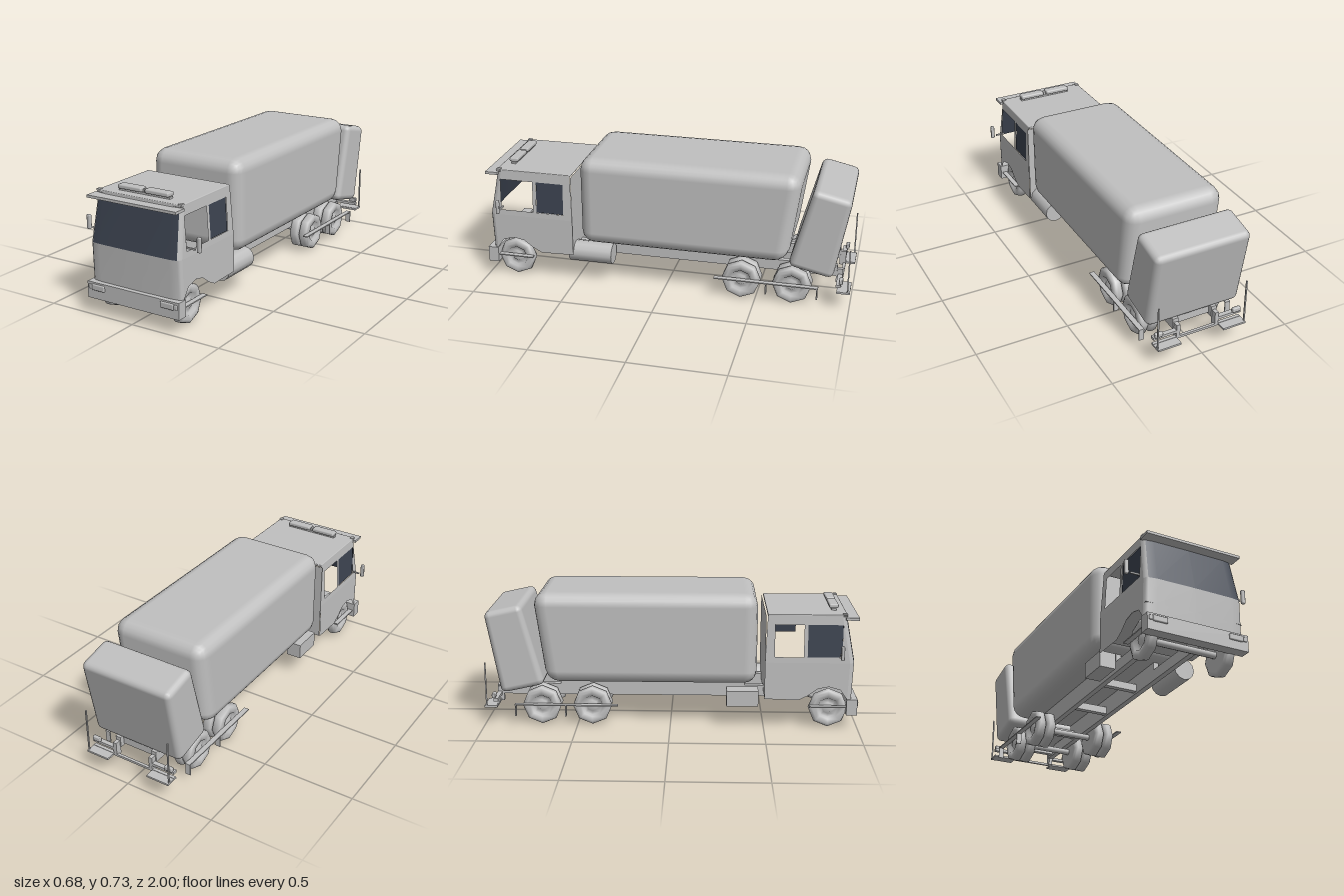
import * as THREE from 'three';
import { RoundedBoxGeometry } from 'three/addons/geometries/RoundedBoxGeometry.js';

const paint = new THREE.MeshStandardMaterial({ color: 0xc0c0c0 });
paint.name = 'grey paint';
const glass = new THREE.MeshStandardMaterial({ color: 0x3c4350, side: THREE.DoubleSide });
glass.name = 'dark glass';

export function createModel() {
  const truck = new THREE.Group();
  truck.name = 'garbageTruck';

  const add = (name, geometry, material = paint) => {
    const mesh = new THREE.Mesh(geometry, material);
    mesh.name = name;
    truck.add(mesh);
    return mesh;
  };
  // Box given by its extents on each axis
  const box = (name, [x0, x1], [y0, y1], [z0, z1], radius = 0) => {
    const s = [Math.abs(x1 - x0), y1 - y0, z1 - z0];
    const g = radius ? new RoundedBoxGeometry(...s, 1, radius) : new THREE.BoxGeometry(...s);
    return add(name, g.translate((x0 + x1) / 2, (y0 + y1) / 2, (z0 + z1) / 2));
  };
  const pair = (name, [x0, x1], y, z, radius) => {
    for (const s of [1, -1]) box(name, [s * x0, s * x1], y, z, radius);
  };

  // ---- Cab shell: rules for its width and front lean ----
  const sideX = y => (y < 0.37 ? 0.268 - (y - 0.17) * 0.015 : 0.265 - (y - 0.37) * 0.06);
  const frontZ = y => (y < 0.37 ? 0.967 + (y - 0.17) * 0.04 : 0.975 - (y - 0.37) * 0.19);
  const frontColumns = [[-1, 0.03], [-0.985, 0.016], [-0.945, 0.008], [-0.78, 0.002], [0, 0],
    [0.78, 0.002], [0.945, 0.008], [0.985, 0.016], [1, 0.03]];

  const frontSkin = (name, ys, columns, material) => {
    const position = [], index = [], n = columns.length;
    ys.forEach((y, r) => columns.forEach(([u, back], c) => {
      position.push(u * sideX(y), y, frontZ(y) - back);
      if (r && c) {
        const d = r * n + c, a = d - n - 1, b = d - n, e = d - 1;
        index.push(a, b, d, a, d, e);
      }
    }));
    const g = new THREE.BufferGeometry();
    g.setAttribute('position', new THREE.Float32BufferAttribute(position, 3));
    g.setIndex(index);
    g.computeVertexNormals();
    return add(name, g, material);
  };
  frontSkin('cabFrontPanel', [0.17, 0.24, 0.37], frontColumns);
  frontSkin('windscreen', [0.37, 0.6], frontColumns.slice(2, 7), glass);
  frontSkin('windscreenPillar', [0.37, 0.6], frontColumns.slice(0, 3));
  frontSkin('windscreenPillar', [0.37, 0.6], frontColumns.slice(6));
  frontSkin('windscreenHeader', [0.6, 0.62], frontColumns);

  // Side skins are drawn in z and y, then laid onto the cab width
  const v2 = pts => pts.map(p => new THREE.Vector2(...p));
  const sideSkin = (name, outline, holes, side, inset = 0, material = paint) => {
    const shape = new THREE.Shape(v2(outline));
    holes.forEach(h => shape.holes.push(new THREE.Path(v2(h))));
    const g = new THREE.ShapeGeometry(shape);
    const p = g.attributes.position;
    for (let i = 0; i < p.count; i++) {
      const z = p.getX(i), y = p.getY(i);
      p.setXYZ(i, side * (sideX(y) - inset), y, z);
    }
    if (side > 0) g.index.array.reverse();
    g.computeVertexNormals();
    return add(name, g, material);
  };
  const rect = (z0, z1) => [[z0, 0.4], [z1, 0.4], [z1, 0.573], [z0, 0.573]];
  const frontWindow = rect(0.722, 0.904), rearWindow = rect(0.55, 0.702);
  const lowerSide = [[0.945, 0.37], [0.5, 0.37], [0.5, 0.17], [0.68, 0.165], [0.73, 0.19],
    [0.78, 0.228], [0.84, 0.24], [0.9, 0.223], [0.937, 0.17]];
  const upperSide = [[0.5, 0.37], [0.945, 0.37], [frontZ(0.62) - 0.03, 0.62], [0.51, 0.62]];
  for (const s of [1, -1]) {
    sideSkin('cabLowerSide', lowerSide, [], s);
    sideSkin('cabUpperSide', upperSide, [frontWindow, rearWindow], s);
    // One pane on each side is open
    sideSkin('sideWindow', s > 0 ? rearWindow : frontWindow, [], s, 0.003, glass);
  }
  add('cabRearWall', new THREE.PlaneGeometry(0.526, 0.45).rotateY(Math.PI).translate(0, 0.395, 0.502));
  add('cabFloor', new THREE.PlaneGeometry(0.53, 0.46).rotateX(Math.PI / 2).translate(0, 0.24, 0.735));
  box('cabRoof', [-0.25, 0.25], [0.615, 0.628], [0.51, 0.925], 0.005);
  box('sunVisor', [-0.262, 0.262], [0.6, 0.614], [0.915, 0.985]);
  pair('markerLamp', [0.23, 0.252], [0.623, 0.633], [0.9, 0.925], 0.003);

  // Roof light bar
  box('lightBarBase', [-0.15, 0.15], [0.626, 0.638], [0.85, 0.875]);
  pair('lightBarLens', [0.01, 0.15], [0.638, 0.661], [0.838, 0.888], 0.008);
  box('lightBarCentre', [-0.008, 0.008], [0.638, 0.656], [0.85, 0.875], 0.004);

  // Mirrors
  pair('mirrorArm', [0.255, 0.308], [0.412, 0.42], [0.893, 0.901]);
  pair('mirror', [0.318, 0.34], [0.403, 0.48], [0.888, 0.906], 0.006);

  // Bumper and headlights
  box('bumper', [-0.275, 0.275], [0.085, 0.171], [0.935, 0.992]);
  pair('headlight', [0.168, 0.246], [0.13, 0.162], [0.98, 1], 0.006);
  pair('indicator', [0.246, 0.267], [0.134, 0.159], [0.98, 0.998], 0.005);

  // ---- Refuse body, with its lower rear sloping forward ----
  const body = new RoundedBoxGeometry(0.54, 0.49, 1.18, 2, 0.07).translate(0, 0.485, -0.13);
  const bp = body.attributes.position;
  for (let i = 0; i < bp.count; i++) {
    if (bp.getZ(i) < -0.5) bp.setZ(i, bp.getZ(i) + Math.max(0, 0.55 - bp.getY(i)) * 0.2);
  }
  add('refuseBody', body);

  // Tilted loading hopper, narrower at the top
  const hopper = new RoundedBoxGeometry(0.525, 0.45, 0.222, 2, 0.032);
  const hp = hopper.attributes.position;
  for (let i = 0; i < hp.count; i++) hp.setZ(i, hp.getZ(i) * (1 - hp.getY(i) * 0.38));
  add('loadingHopper', hopper.rotateX(-0.22).translate(0, 0.426, -0.836));

  // ---- Chassis ----
  pair('chassisRail', [0.095, 0.125], [0.14, 0.2], [-0.92, 0.93]);
  for (const z of [-0.88, -0.56, -0.15, 0.2]) {
    box('crossMember', [-0.1, 0.1], [0.15, 0.19], [z - 0.015, z + 0.015]);
  }
  pair('bodySupport', [0.095, 0.125], [0.2, 0.25], [-0.6, 0.4]);
  add('fuelTank', new THREE.CylinderGeometry(0.058, 0.058, 0.24, 12)
    .rotateX(Math.PI / 2).translate(0.2, 0.172, 0.41));
  box('batteryBox', [-0.25, -0.165], [0.12, 0.205], [0.3, 0.47]);

  // ---- Wheels: eight-sided, double at the rear ----
  const tyre = new THREE.LatheGeometry(v2([[0, -0.029], [0.085, -0.029], [0.1, -0.022], [0.105, -0.01],
    [0.105, 0.01], [0.1, 0.022], [0.085, 0.029], [0.06, 0.026], [0.052, 0.01], [0.03, 0.012],
    [0.024, 0.02], [0, 0.02]]), 8);
  const wheel = (name, side, x, z) => {
    const w = add(name, tyre);
    w.rotation.z = -side * Math.PI / 2;
    w.position.set(side * x, 0.108, z);
  };
  for (const z of [0.843, -0.42, -0.692]) {
    for (const s of [1, -1]) {
      wheel(z > 0 ? 'frontWheel' : 'rearWheel', s, 0.21, z);
      if (z < 0) wheel('innerRearWheel', s, 0.151, z);
    }
    add('axle', new THREE.CylinderGeometry(0.018, 0.018, 0.36, 8).rotateZ(Math.PI / 2).translate(0, 0.11, z));
  }

  // Guard strips beside the wheels
  pair('frontGuard', [0.237, 0.265], [0.122, 0.128], [0.74, 0.935]);
  pair('rearGuard', [0.237, 0.265], [0.117, 0.123], [-0.835, -0.28]);
  for (const z of [-0.56, -0.83]) pair('guardFlap', [0.237, 0.265], [0.057, 0.12], [z - 0.003, z + 0.003]);

  // ---- Rear steps, grab poles and lamps ----
  pair('rearStep', [0.12, 0.25], [0.1, 0.11], [-1, -0.93]);
  box('rearStepBar', [-0.25, 0.25], [0.1, 0.112], [-0.95, -0.935]);
  pair('grabPole', [0.244, 0.251], [0.105, 0.35], [-0.991, -0.984]);
  pair('rearLampBracket', [0.11, 0.25], [0.135, 0.15], [-0.95, -0.925]);
  pair('rearLamp', [0.2, 0.245], [0.15, 0.175], [-0.96, -0.94], 0.005);
  pair('stepHanger', [0.1, 0.12], [0.1, 0.18], [-0.95, -0.915]);

  return truck;
}
